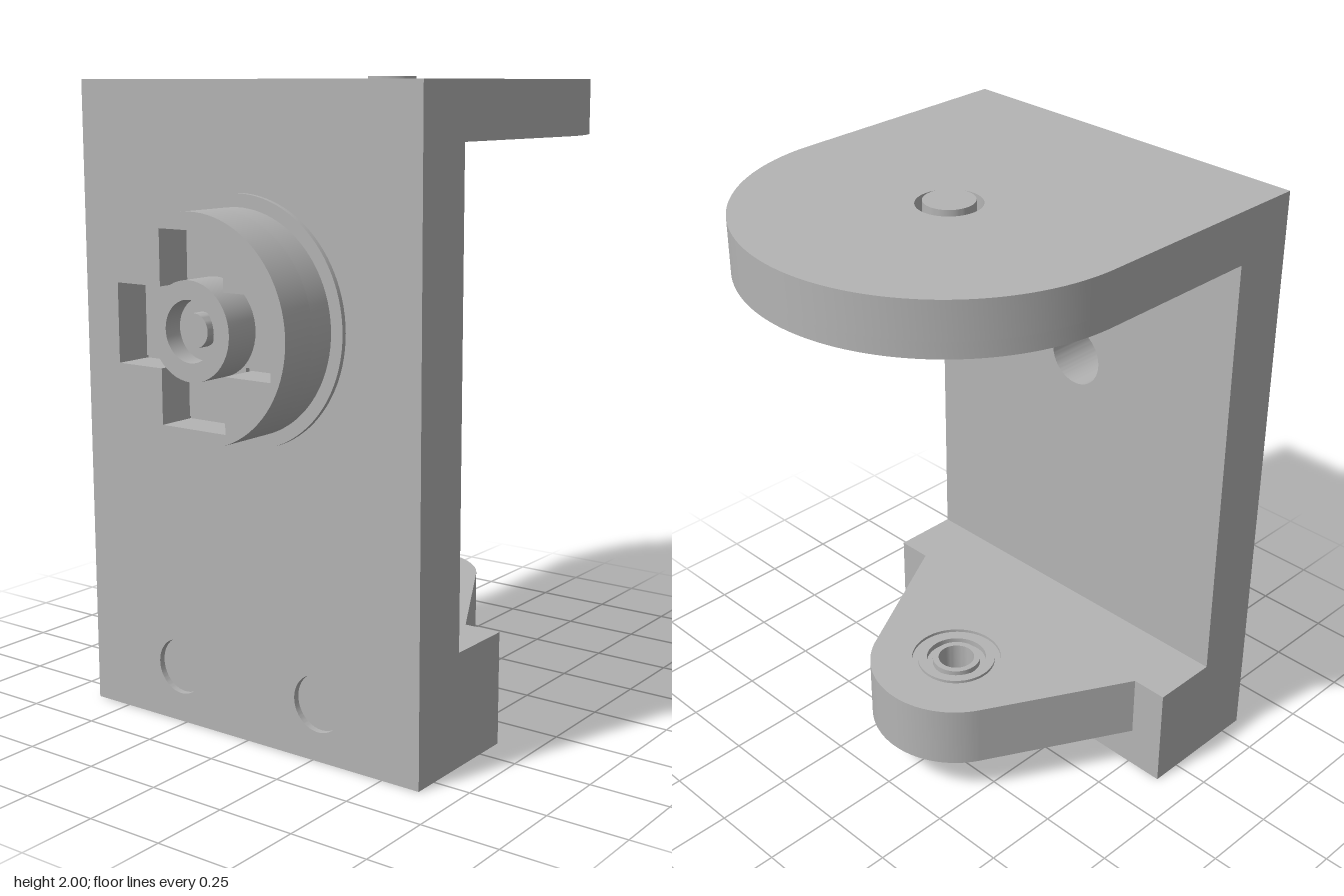
import * as THREE from 'three';
import { toCreasedNormals } from 'three/addons/utils/BufferGeometryUtils.js';

const HUB_Y = 1.293, AXIS_Z = -0.18, W = 0.63;

// Closed outline from [x, y] pairs
const outline = (pts) => new THREE.Shape(pts.map(([x, y]) => new THREE.Vector2(x, y)));

const rect = (x0, y0, x1, y1) => outline([[x0, y0], [x1, y0], [x1, y1], [x0, y1]]);

const circle = (x, y, r) => new THREE.Shape().absarc(x, y, r, 0, Math.PI * 2, false);

function withHoles(shape, ...holes) {
  shape.holes.push(...holes);
  return shape;
}

// Square-ended cross, half length l, half width w
function squareCross(cx, cy, l, w) {
  return outline([
    [l, -w], [l, w], [w, w], [w, l], [-w, l], [-w, w],
    [-l, w], [-l, -w], [-w, -w], [-w, -l], [w, -l], [w, -w],
  ].map(([x, y]) => [cx + x, cy + y]));
}

// Round-ended cross turned onto the diagonals
function roundCross(cx, cy, l, w) {
  const pts = [];
  for (let k = 0; k < 4; k++) {
    const a = Math.PI / 4 + k * Math.PI / 2, c = Math.cos(a), s = Math.sin(a);
    const add = (x, y) => pts.push([cx + x * c - y * s, cy + x * s + y * c]);
    for (let i = 0; i <= 12; i++) {
      const t = -Math.PI / 2 + i * Math.PI / 12;
      add(l - w + w * Math.cos(t), w * Math.sin(t));
    }
    add(w, w);
  }
  return outline(pts);
}

export function createModel() {
  const group = new THREE.Group();
  const grey = new THREE.MeshStandardMaterial({ color: 0xb4b4b4 });
  grey.name = 'plain grey';

  function add(name, geometry) {
    const mesh = new THREE.Mesh(toCreasedNormals(geometry, 0.5), grey);
    mesh.name = name;
    group.add(mesh);
    return mesh;
  }
  const extrude = (shape, depth) =>
    new THREE.ExtrudeGeometry(shape, { depth, bevelEnabled: false, curveSegments: 48 });
  // Plate facing the front, between z0 and z1
  const upright = (name, shape, z0, z1) =>
    add(name, extrude(shape, z1 - z0).translate(0, 0, z0));
  // Plate lying flat, between y0 and y1; shape y means -z
  const flat = (name, shape, y0, y1) =>
    add(name, extrude(shape, y1 - y0).rotateX(-Math.PI / 2).translate(0, y0, 0));
  const lathe = (pts) =>
    new THREE.LatheGeometry(pts.map(([r, y]) => new THREE.Vector2(r, y)), 48);

  // Upright wall: a through bore and two shallow screw recesses
  const bore = () => circle(0, HUB_Y, 0.1);
  upright('wall', withHoles(rect(-W, 0, W, 1.99), bore()), 0.375, 0.56);
  upright('wallFace', withHoles(rect(-W, 0, W, 1.99), bore(),
    circle(-0.27, 0.18, 0.088), circle(0.27, 0.18, 0.088)), 0.56, 0.58);

  // Round-ended top plate in two layers, the lower one holding the horn
  const topOutline = () => {
    const s = new THREE.Shape();
    s.moveTo(-W, -0.375);
    s.lineTo(W, -0.375);
    s.lineTo(W, -AXIS_Z);
    s.absarc(0, -AXIS_Z, W, 0, Math.PI, false);
    s.closePath();
    return s;
  };
  flat('topPlate', withHoles(topOutline(), circle(0, -AXIS_Z, 0.1)), 1.87, 1.99);
  flat('topPlateUnderside',
    withHoles(topOutline(), roundCross(0, -AXIS_Z, 0.55, 0.095)), 1.82, 1.87);

  // Four-armed horn set into the underside, with small holes along the arms
  const horn = roundCross(0, -AXIS_Z, 0.54, 0.085);
  for (let k = 0; k < 4; k++) {
    const a = Math.PI / 4 + k * Math.PI / 2;
    for (const r of [0.23, 0.34, 0.45]) {
      horn.holes.push(circle(r * Math.cos(a), -AXIS_Z + r * Math.sin(a), 0.018));
    }
  }
  flat('horn', horn, 1.822, 1.868);

  // Hollow collar with a central pin, used on the horn and on the hub
  const collar = (h) => lathe([
    [0.145, 0], [0.145, h], [0.09, h], [0.09, h - 0.06],
    [0.05, h - 0.06], [0.05, h - 0.02], [0, h - 0.02],
  ]);
  add('hornCollar', collar(0.11).rotateX(Math.PI)).position.set(0, 1.82, AXIS_Z);
  add('topPin', new THREE.CylinderGeometry(0.078, 0.078, 0.14, 48))
    .position.set(0, 1.93, AXIS_Z);

  // Front hub with a cross-shaped pocket
  upright('hubFlange', circle(0, HUB_Y, 0.375), 0.58, 0.595);
  upright('hubBase', circle(0, HUB_Y, 0.335), 0.58, 0.68);
  upright('hubRim', withHoles(circle(0, HUB_Y, 0.335),
    squareCross(0, HUB_Y, 0.283, 0.118)), 0.68, 0.8);
  upright('hubHorn', squareCross(0, HUB_Y, 0.273, 0.108), 0.68, 0.695);
  add('hubCollar', collar(0.13).rotateX(Math.PI / 2)).position.set(0, HUB_Y, 0.68);

  // Foot block behind the wall
  add('footBlock', new THREE.BoxGeometry(2 * W, 0.355, 0.225))
    .position.set(0, 0.1775, 0.2625);

  // Tapered bearing arm with a round end tangent to its sides
  const arm = new THREE.Shape();
  const t = 0.48;
  arm.moveTo(-0.51, -0.15);
  arm.lineTo(0.51, -0.15);
  arm.absarc(0, -AXIS_Z, 0.29, t, Math.PI - t, false);
  arm.closePath();
  flat('bearingArm', withHoles(arm, circle(0, -AXIS_Z, 0.15)), 0.14, 0.355);

  // Bearing: stepped ring with an open bore
  add('bearing', lathe([
    [0.06, 0.19], [0.13, 0.19], [0.13, 0.14], [0.15, 0.14], [0.15, 0.345],
    [0.13, 0.345], [0.13, 0.355], [0.1, 0.355], [0.1, 0.335],
    [0.08, 0.335], [0.08, 0.355], [0.06, 0.355], [0.06, 0.19],
  ])).position.set(0, 0, AXIS_Z);

  return group;
}
